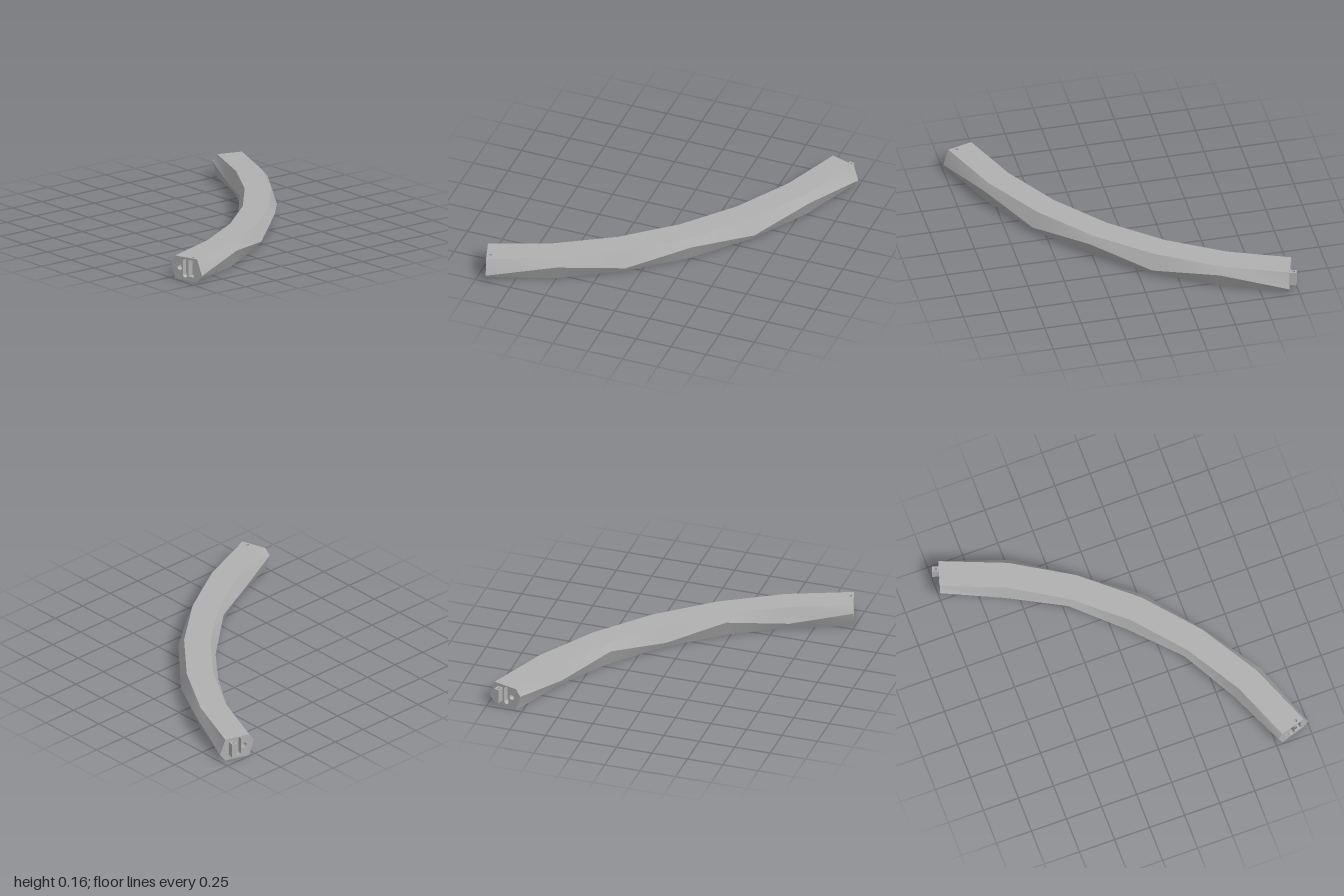
import * as THREE from 'three';

const C = 1.786, H = 0.16, N = 6;               // arc centre offset, height, segments
const A0 = THREE.MathUtils.degToRad(17.15), A1 = Math.PI / 2 - A0;
const R_IN = 2.666, R_IN_TOP = 2.70, R_OUT_TOP = 2.877, R_OUT = 2.916;
const LOW = 0.05, HIGH = 0.113;
const SLOT = { r: 2.83, w: 0.046, y0: 0.03, y1: 0.145, depth: 0.05 };
const BORE = { back: 0.023, r: 0.011 };

const grey = new THREE.MeshStandardMaterial({ color: 0xb0b0b0 });
grey.name = 'grey';

// Point [x, z] at radius r and angle a, shifted w along the tangent
const at = (r, a, w = 0) => [
  -C + r * Math.sin(a) + w * Math.cos(a),
  C - r * Math.cos(a) + w * Math.sin(a),
];
const angle = i => A0 + (A1 - A0) * i / N;

// Six-sided cross-section as [radius, height]; the side ridges zigzag
function section(i) {
  const even = i % 2 === 0;
  return [
    [R_IN, even ? HIGH : LOW], [R_IN_TOP, H], [R_OUT_TOP, H],
    [R_OUT, even ? LOW : HIGH], [R_OUT_TOP, 0], [R_IN_TOP, 0],
  ];
}

function add(parent, geometry, name) {
  const mesh = new THREE.Mesh(geometry, grey);
  mesh.name = name;
  parent.add(mesh);
  return mesh;
}

// Turns a closed or tubular geometry inside out
function inward(geometry) {
  geometry.scale(1, 1, -1);
  geometry.computeVertexNormals();
  return geometry;
}

function circle(x, y, r) {
  return new THREE.Path().absarc(x, y, r, 0, Math.PI * 2, true);
}

// Horizontal plate from [x, z] points with one round hole
function flat(points, hole, y, up) {
  const s = up ? -1 : 1;
  const shape = new THREE.Shape(points.map(([x, z]) => new THREE.Vector2(x, s * z)));
  shape.holes.push(circle(hole[0], s * hole[1], BORE.r));
  return new THREE.ShapeGeometry(shape, 8).rotateX(s * Math.PI / 2).translate(0, y, 0);
}

// One bevelled strip between neighbouring section corners, smooth along its length
function strip(k) {
  const pos = [], index = [];
  for (let i = 0; i <= N; i++) {
    const s = section(i);
    for (const [r, y] of [s[k], s[(k + 1) % 6]]) {
      const [x, z] = at(r, angle(i));
      pos.push(x, y, z);
    }
    if (i < N) {
      const b = i * 2;
      index.push(b, b + 2, b + 1, b + 1, b + 2, b + 3);
    }
  }
  const g = new THREE.BufferGeometry();
  g.setAttribute('position', new THREE.Float32BufferAttribute(pos, 3));
  g.setIndex(index);
  g.computeVertexNormals();
  return g;
}

function capsule(x, y0, y1, r) {
  const s = new THREE.Shape();
  s.absarc(x, y1 - r, r, 0, Math.PI, false);
  s.absarc(x, y0 + r, r, Math.PI, Math.PI * 2, false);
  s.closePath();
  return s;
}

// End face with recesses; local x is the radius, local z points out of the end
function endCap(dir) {
  const group = new THREE.Group();
  group.name = dir > 0 ? 'frontEnd' : 'backEnd';
  group.position.set(-C, 0, C);
  group.rotation.y = dir > 0 ? Math.PI / 2 - A1 : Math.PI * 1.5 - A0;

  const face = new THREE.Shape(section(0).map(([r, y]) => new THREE.Vector2(dir * r, y)));
  const pockets = [
    capsule(dir * 2.78, 0.02, 0.153, 0.019),
    new THREE.Shape().absarc(dir * 2.737, 0.085, 0.019, 0, Math.PI * 2, false),
  ];
  for (const p of pockets) {
    face.holes.push(new THREE.Path(p.getPoints(8)));
    const g = new THREE.ExtrudeGeometry(p, { depth: 0.04, bevelEnabled: false, curveSegments: 8 });
    add(group, inward(g), 'recess');
  }

  const { r, w, y0, y1, depth } = SLOT;
  const l = r - w / 2, rt = r + w / 2, h = y1 - y0, ym = (y0 + y1) / 2;
  if (dir > 0) {
    // Slot with a bored floor and ceiling
    const rim = [[l, y0], [rt, y0], [rt, y1], [l, y1]];
    face.holes.push(new THREE.Path(rim.map(p => new THREE.Vector2(...p))));
    const plan = [[l, 0], [rt, 0], [rt, -depth], [l, -depth]];
    add(group, flat(plan, [r - 0.003, -BORE.back], y0, true), 'slotFloor');
    add(group, flat(plan, [r - 0.003, -BORE.back], y1, false), 'slotCeiling');
    add(group, new THREE.PlaneGeometry(w, h).translate(r, ym, -depth), 'slotBack');
    for (const s of [-1, 1]) {
      add(group, new THREE.PlaneGeometry(depth, h).rotateY(-s * Math.PI / 2)
        .translate(r + s * w / 2, ym, -depth / 2), 'slotWall');
      add(group, new THREE.CylinderGeometry(0.008, 0.008, 0.012, 12).rotateX(Math.PI / 2)
        .translate(r, ym + s * 0.032, -depth + 0.006), 'slotPeg');
    }
    for (const [a, b] of [[0, y0], [y1, H]]) {
      const g = new THREE.CylinderGeometry(BORE.r, BORE.r, b - a, 16, 1, true);
      add(group, inward(g).translate(r - 0.003, (a + b) / 2, -BORE.back), 'pinBore');
    }
  } else {
    // Drilled tongue that fits the slot of the next piece
    const t = 0.018, tongue = new THREE.Shape([[-r - t, 0], [-r - t, -0.045], [-r + t, -0.045], [-r + t, 0]]
      .map(p => new THREE.Vector2(...p)));
    tongue.holes.push(circle(-r, -BORE.back, BORE.r));
    const g = new THREE.ExtrudeGeometry(tongue, { depth: 0.1, bevelEnabled: false, curveSegments: 8 });
    add(group, g.rotateX(-Math.PI / 2).translate(0, 0.037, 0), 'tongue');
  }
  add(group, new THREE.ShapeGeometry(face, 8), 'endFace');
  return group;
}

export function createModel() {
  const model = new THREE.Group();
  model.name = 'curvedBeam';

  // Flat top and bottom
  const ids = Array.from({ length: N + 1 }, (_, i) => i);
  const outline = [
    ...ids.map(i => at(R_IN_TOP, angle(i))),
    ...ids.map(i => at(R_OUT_TOP, angle(N - i))),
  ];
  const hole = at(SLOT.r - 0.003, A1, -BORE.back);
  add(model, flat(outline, hole, H, true), 'top');
  add(model, flat(outline, hole, 0, false), 'bottom');

  // Bevelled sides
  const names = { 0: 'innerUpperSide', 2: 'outerUpperSide', 3: 'outerLowerSide', 5: 'innerLowerSide' };
  for (const k of [0, 2, 3, 5]) add(model, strip(k), names[k]);

  model.add(endCap(1), endCap(-1));
  return model;
}
